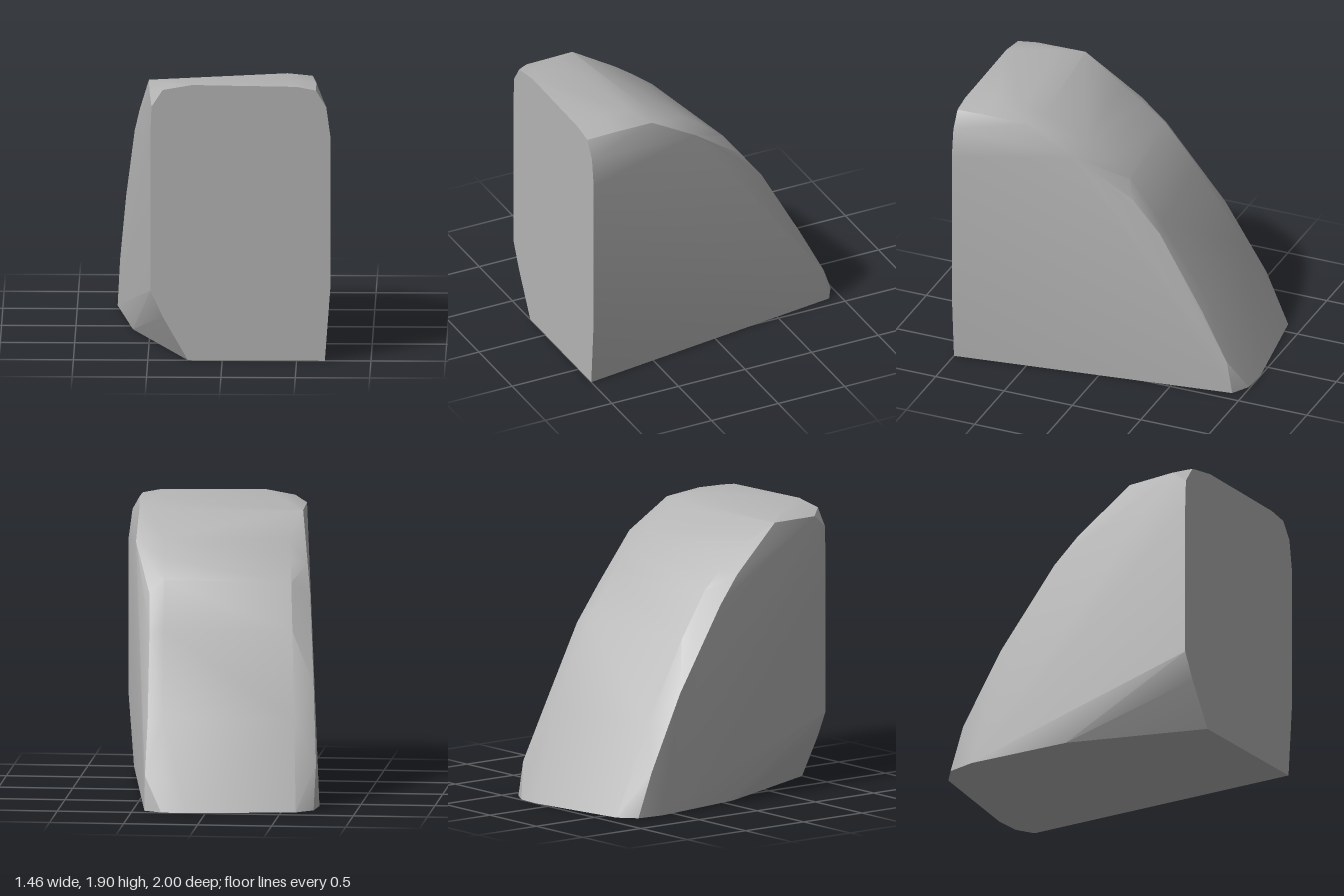
import * as THREE from 'three';
import { ConvexGeometry } from 'three/addons/geometries/ConvexGeometry.js';
import { toCreasedNormals } from 'three/addons/utils/BufferGeometryUtils.js';

export function createModel() {
  const stone = new THREE.MeshStandardMaterial({ color: 0xb4b4b4 });
  stone.name = 'stone grey';
  const points = [];
  const add = (x, y, z) => points.push(new THREE.Vector3(x, y, z));

  // Flat front face, as x, y
  [[0.69, 0], [0.727, 0.5], [0.727, 1.55], [0.7, 1.75], [0.63, 1.865], [0.5, 1.89], [-0.2, 1.9],
    [-0.4, 1.865], [-0.475, 1.75], [-0.483, 1.55], [-0.483, 0.48], [-0.4, 0.3], [-0.23, 0]]
    .forEach(([x, y]) => add(x, y, 1));

  // Skewed footprint, as x, z
  [[-0.615, 0.1], [-0.73, -0.6], [-0.71, -0.79], [-0.6, -0.89], [0.13, -1], [0.3, -0.99], [0.42, -0.92]]
    .forEach(([x, z]) => add(x, 0, z));

  // Back slope: each row runs across the block, slanting with the footprint
  [[0.8, 1.905], [0.6, 1.89], [0.45, 1.85], [0.15, 1.69], [0, 1.575], [-0.15, 1.45], [-0.37, 1.15],
    [-0.7, 0.6], [-0.89, 0.23]]
    .forEach(([z, y]) => {
      add(0.38 + 0.09 * z, y, z);
      add(-0.46 + 0.14 * z, y - 0.02, z + 0.11);
    });

  // Right-hand and left-hand shoulders, rounded off below the slope
  [[0.63, 1.87, 0.8], [0.6, 1.85, 0.5], [0.59, 1.66, 0.17], [0.46, 1.36, -0.2], [0.44, 1.12, -0.4],
    [0.42, 0.58, -0.7], [0.42, 0.23, -0.88],
    [-0.49, 1.83, 0.9], [-0.5, 1.83, 0.55], [-0.57, 1.53, 0.17], [-0.605, 1.35, 0], [-0.67, 0.8, -0.4],
    [-0.715, 0.3, -0.68]]
    .forEach((p) => add(...p));

  const rock = new THREE.Mesh(toCreasedNormals(new ConvexGeometry(points), 0.45), stone);
  rock.name = 'rock';
  const group = new THREE.Group();
  group.name = 'wedgeBoulder';
  group.add(rock);
  return group;
}
